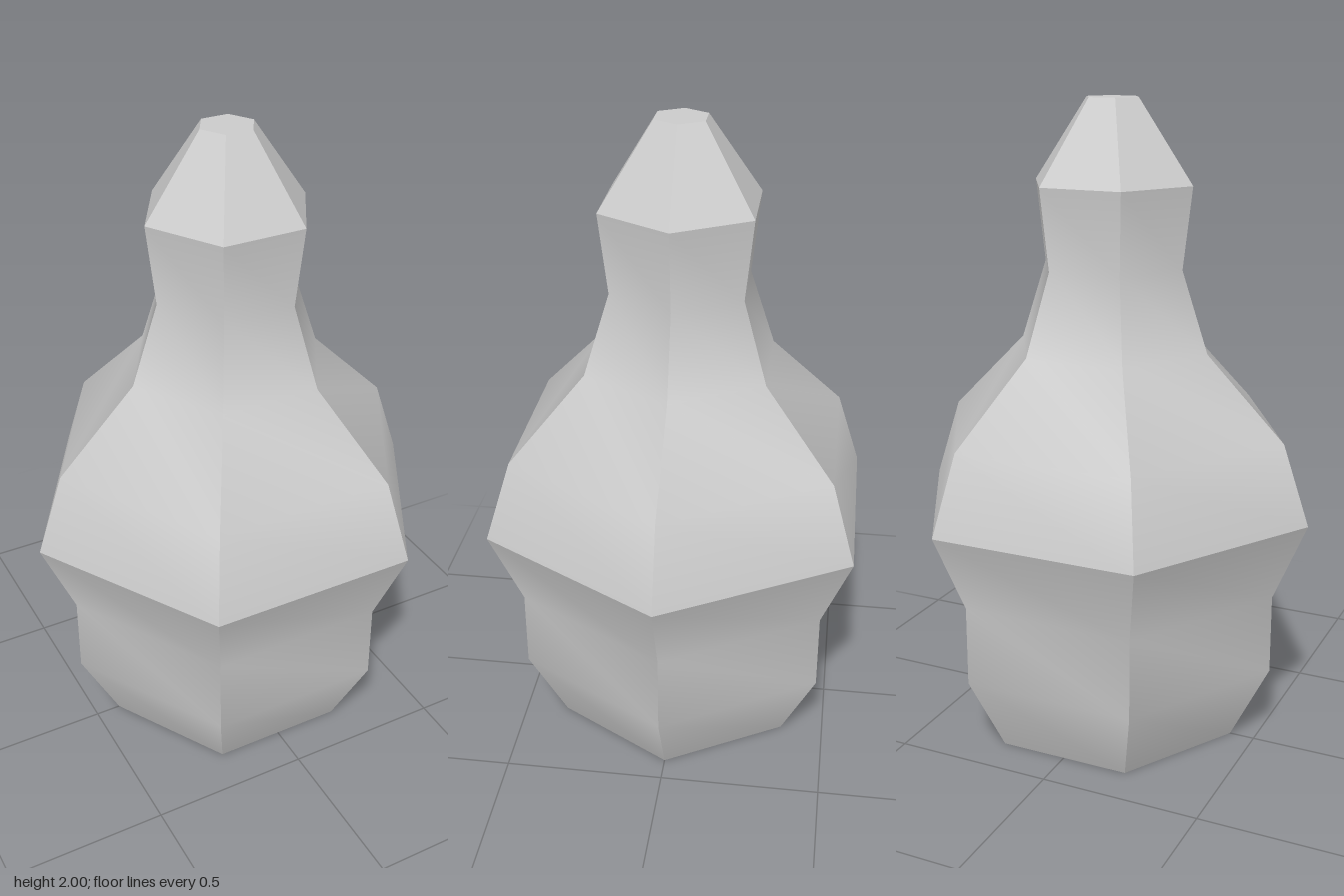
import * as THREE from 'three';
import { toCreasedNormals } from 'three/addons/utils/BufferGeometryUtils.js';

const SIDES = 6;
const STEP = 0.25; // height between rings
// Ring radii from base to tip
const RADII = [0.42, 0.545, 0.545, 0.65, 0.565, 0.315, 0.23, 0.26, 0.085];

export function createModel() {
  const group = new THREE.Group();
  group.name = 'hexagonalPawn';

  // Closed six-sided body with corners on the x axis
  const profile = [
    new THREE.Vector2(0, 0),
    ...RADII.map((r, i) => new THREE.Vector2(r, i * STEP)),
    new THREE.Vector2(0, (RADII.length - 1) * STEP),
  ];
  const lathe = new THREE.LatheGeometry(profile, SIDES, Math.PI / 2);

  // Sharp corners, softened gentle bends
  const geometry = toCreasedNormals(lathe, THREE.MathUtils.degToRad(35));
  const body = new THREE.Mesh(geometry, new THREE.MeshStandardMaterial({ color: 0xcccccc }));
  body.name = 'body';
  group.add(body);
  return group;
}
